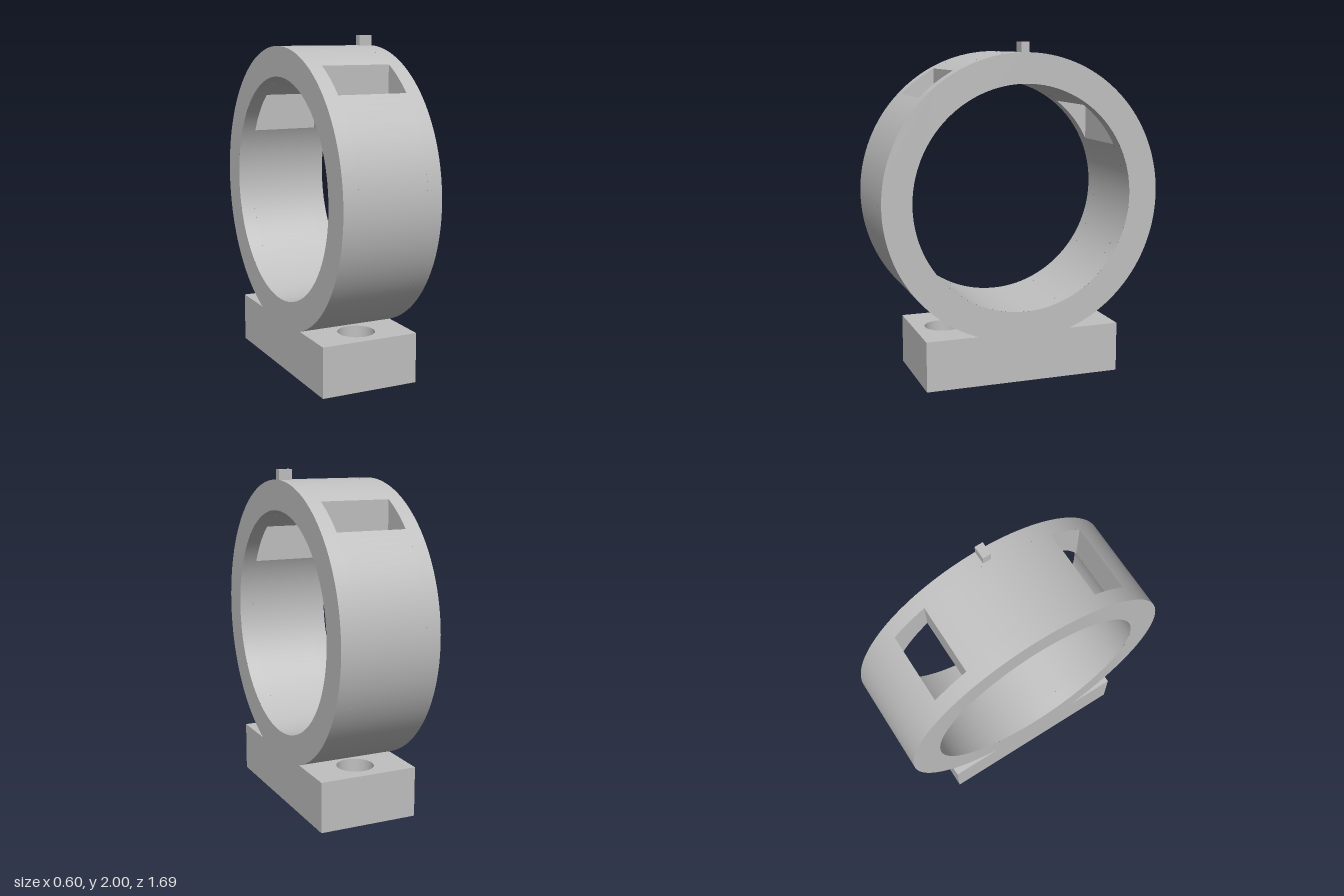
import * as THREE from 'three';

const W = 0.3, R = 0.845, r = 0.668, CY = 1.095;      // half width, ring radii, ring centre height
const BASE_H = 0.3, BASE_Z = 0.6;                     // mounting foot
const SLOT_X = 0.21, SLOT_IN = 0.4, SLOT_OUT = 0.6;   // slot cut straight down through the ring
const HOLE_Z = 0.42, HOLE_R = 0.11;
const PI = Math.PI;

// Smooth cylindrical strip around the x axis, from angle a0 to a1 (0 = +z, PI/2 = +y)
function ribbon(radius, a0, a1, x0, x1, inward = false) {
  const n = Math.max(4, Math.ceil((a1 - a0) / (PI / 64)));
  const s = inward ? -1 : 1, pos = [], nor = [], idx = [];
  for (let i = 0; i <= n; i++) {
    const a = a0 + (a1 - a0) * i / n, c = Math.cos(a), d = Math.sin(a);
    for (const x of [x0, x1]) {
      pos.push(x, radius * d, radius * c);
      nor.push(0, s * d, s * c);
    }
    if (i === n) continue;
    const k = 2 * i;
    if (inward) idx.push(k, k + 3, k + 1, k, k + 2, k + 3);
    else idx.push(k, k + 1, k + 3, k, k + 3, k + 2);
  }
  const g = new THREE.BufferGeometry();
  g.setAttribute('position', new THREE.Float32BufferAttribute(pos, 3));
  g.setAttribute('normal', new THREE.Float32BufferAttribute(nor, 3));
  g.setIndex(idx);
  return g;
}

const polygon = pts => new THREE.Shape(pts.map(p => new THREE.Vector2(...p)));
const rect = (x0, x1, y0, y1) => polygon([[x0, y0], [x1, y0], [x1, y1], [x0, y1]]);

function circleHole(shape, x, y, radius) {
  const h = new THREE.Path();
  h.absarc(x, y, radius, 0, 2 * PI, true);
  shape.holes.push(h);
}

export function createModel() {
  const model = new THREE.Group();
  const grey = new THREE.MeshStandardMaterial({ color: 0xc0c0c0 });
  grey.name = 'grey';

  const group = name => {
    const g = new THREE.Group();
    g.name = name;
    model.add(g);
    return g;
  };
  const add = (parent, name, geometry) => {
    const m = new THREE.Mesh(geometry, grey);
    m.name = name;
    parent.add(m);
    return m;
  };

  // Curved ring surfaces: full strips at both rims, a middle strip interrupted by the slots
  const ring = group('ring');
  const foot0 = Math.asin((BASE_H - CY) / R);
  const curved = (name, radius, a0, a1, inward) => {
    const lo = Math.acos(SLOT_OUT / radius), hi = Math.acos(SLOT_IN / radius);
    const strips = [
      [a0, a1, -W, -SLOT_X], [a0, a1, SLOT_X, W],
      [a0, lo, -SLOT_X, SLOT_X], [hi, PI - hi, -SLOT_X, SLOT_X], [PI - lo, a1, -SLOT_X, SLOT_X],
    ];
    for (const s of strips) add(ring, name, ribbon(radius, ...s, inward).translate(0, CY, 0));
  };
  curved('ringOuterSurface', R, foot0, PI - foot0, false);
  curved('ringBore', r, -PI / 2, 1.5 * PI, true);

  // Flat side faces shared by the ring and the foot
  const side = new THREE.Shape();
  side.moveTo(-BASE_Z, 0);
  side.lineTo(BASE_Z, 0);
  side.lineTo(BASE_Z, BASE_H);
  side.absarc(0, CY, R, foot0, PI - foot0, false);
  side.lineTo(-BASE_Z, BASE_H);
  circleHole(side, 0, CY, r);
  for (const s of [1, -1]) {
    add(ring, 'sideFace', new THREE.ShapeGeometry(side, 128).rotateY(s * PI / 2).translate(s * W, 0, 0));
  }

  // Slot walls, front and back
  const height = (radius, z) => CY + Math.sqrt(radius * radius - z * z);
  for (const turn of [0, PI]) {
    const slot = group(turn ? 'backSlot' : 'frontSlot');
    slot.rotation.y = turn;
    for (const [z, flip] of [[SLOT_IN, 0], [SLOT_OUT, PI]]) {
      const y0 = height(r, z), y1 = height(R, z);
      add(slot, 'slotWall', new THREE.PlaneGeometry(2 * SLOT_X, y1 - y0)
        .rotateY(flip).translate(0, (y0 + y1) / 2, z));
    }
    for (const s of [1, -1]) {
      const pts = [], n = 10;
      for (let i = 0; i <= n; i++) {
        const z = SLOT_IN + (SLOT_OUT - SLOT_IN) * i / n;
        pts.push([s * z, height(R, z)]);
        pts.unshift([s * z, height(r, z)]);
      }
      add(slot, 'slotEnd', new THREE.ShapeGeometry(polygon(pts))
        .rotateY(-s * PI / 2).translate(s * SLOT_X, 0, 0));
    }
  }

  // Mounting foot with two bolt holes
  const foot = group('foot');
  const under = rect(-W, W, -BASE_Z, BASE_Z);
  const joinZ = R * Math.cos(foot0);
  for (const s of [1, -1]) {
    circleHole(under, 0, s * HOLE_Z, HOLE_R);
    const top = rect(-W, W, joinZ, BASE_Z);
    circleHole(top, 0, HOLE_Z, HOLE_R);
    add(foot, 'footTop', new THREE.ShapeGeometry(top, 32)
      .rotateX(-PI / 2).translate(0, BASE_H, 0).rotateY(s > 0 ? PI : 0));
    add(foot, 'footEnd', new THREE.PlaneGeometry(2 * W, BASE_H)
      .translate(0, BASE_H / 2, BASE_Z).rotateY(s > 0 ? 0 : PI));
    add(foot, 'boltHole', ribbon(HOLE_R, 0, 2 * PI, 0, BASE_H, true)
      .rotateZ(PI / 2).translate(0, 0, s * HOLE_Z));
  }
  add(foot, 'footUnderside', new THREE.ShapeGeometry(under, 32).rotateX(PI / 2));

  // Small index tab on top of the ring
  add(model, 'indexTab', new THREE.BoxGeometry(0.08, 0.065, 0.05).translate(W - 0.04, 1.9675, 0));

  return model;
}
